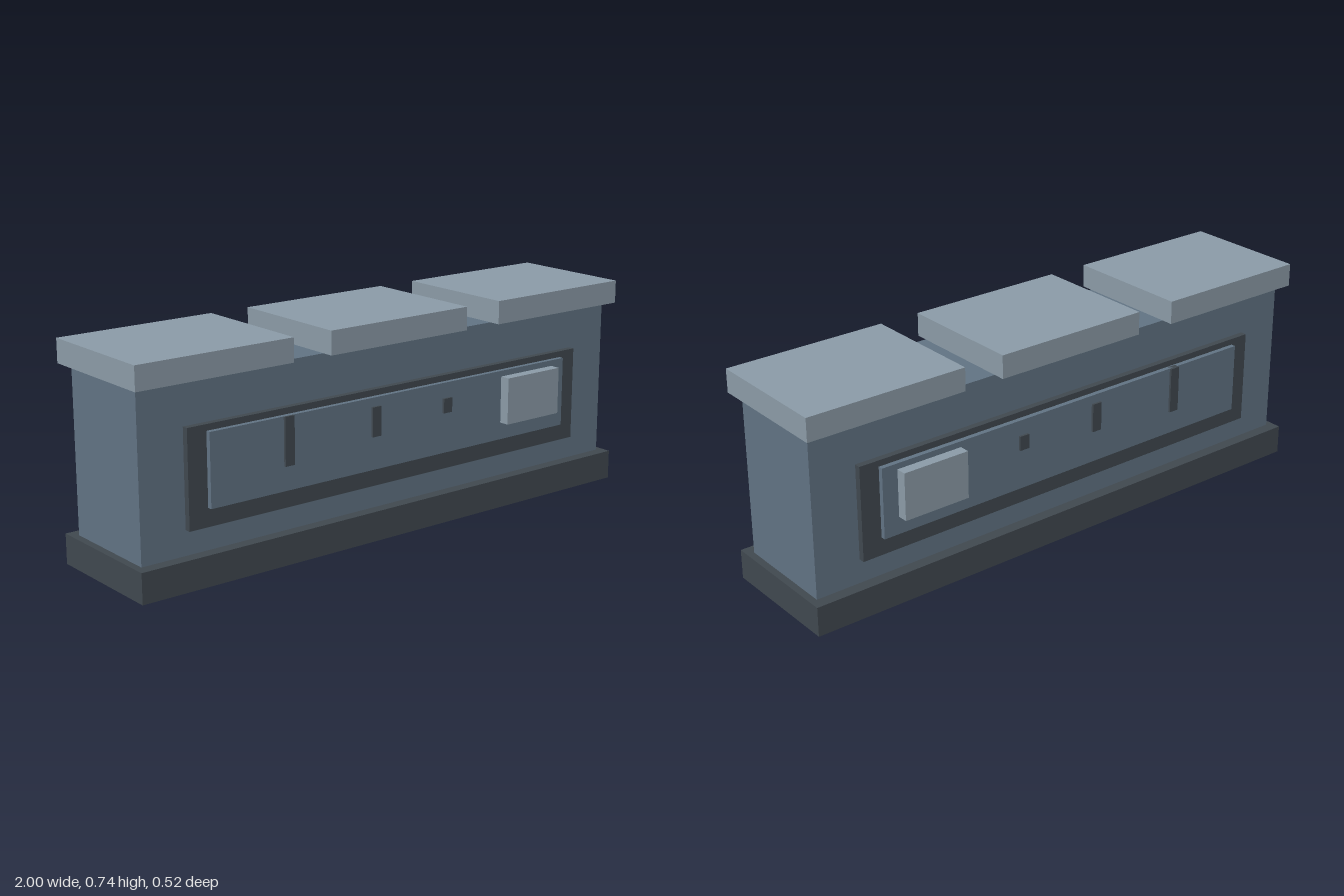
import * as THREE from 'three';

const light = new THREE.MeshStandardMaterial({ color: 0x8b9ba7 });
const mid = new THREE.MeshStandardMaterial({ color: 0x617383 });
const dark = new THREE.MeshStandardMaterial({ color: 0x40484f });

// Box given by its extents along each axis
function block(name, material, [x0, x1], [y0, y1], [z0, z1]) {
  const mesh = new THREE.Mesh(new THREE.BoxGeometry(x1 - x0, y1 - y0, z1 - z0), material);
  mesh.position.set((x0 + x1) / 2, (y0 + y1) / 2, (z0 + z1) / 2);
  mesh.name = name;
  return mesh;
}

export function createModel() {
  const model = new THREE.Group();
  model.name = 'barrierWall';

  // Plinth and wall
  model.add(block('base', dark, [-1, 1], [0, 0.102], [-0.225, 0.225]));
  model.add(block('wall', mid, [-0.975, 0.975], [0.05, 0.655], [-0.184, 0.184]));

  // Three overhanging cap slabs
  for (const x of [-0.715, 0, 0.715]) {
    model.add(block('capSlab', light, [x - 0.285, x + 0.285], [0.655, 0.735], [-0.225, 0.225]));
  }

  // Layered panel, repeated on both faces
  for (const side of [1, -1]) {
    const panel = new THREE.Group();
    panel.name = side > 0 ? 'frontPanel' : 'backPanel';
    const layer = (name, material, x, y, depth, start) =>
      panel.add(block(name, material, x, y, side > 0 ? [start, depth] : [-depth, -start]));

    layer('panelFrame', dark, [-0.815, 0.815], [0.185, 0.511], 0.206, 0.17);
    layer('panelInset', mid, [-0.746, 0.746], [0.247, 0.49], 0.223, 0.19);
    layer('raisedPlate', light, [0.45, 0.69], [0.307, 0.47], 0.259, 0.21);

    // Dark marks, shortening towards the plate
    for (const [x, y0, y1] of [[-0.453, 0.329, 0.49], [-0.104, 0.36, 0.46], [0.202, 0.387, 0.437]]) {
      layer('panelMark', dark, [x - 0.018, x + 0.018], [y0, y1], 0.231, 0.21);
    }
    model.add(panel);
  }
  return model;
}
